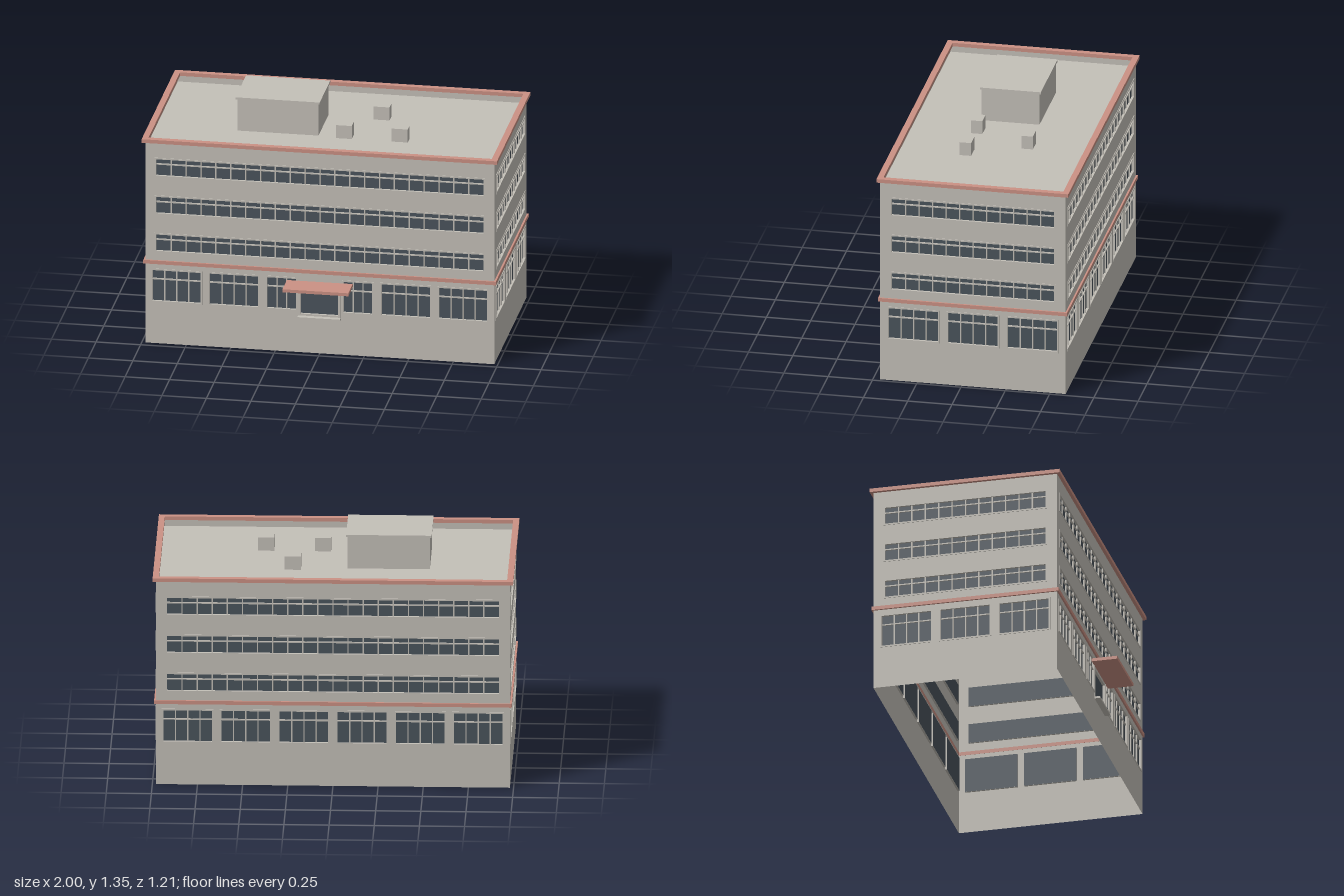
import * as THREE from 'three';
import { mergeGeometries } from 'three/addons/utils/BufferGeometryUtils.js';

const mat = (name, color, side = THREE.FrontSide) =>
  Object.assign(new THREE.MeshStandardMaterial({ color, side }), { name });

export function createModel() {
  const concrete = mat('concrete', 0xc4c0b8, THREE.DoubleSide);
  const terracotta = mat('terracotta', 0xcb9184);
  const glass = mat('glass', 0x4a545c, THREE.DoubleSide);

  const X = 0.98, ZF = 0.46, ZB = -0.587, ZC = (ZF + ZB) / 2, WALL_TOP = 1.195;
  const model = new THREE.Group();
  model.name = 'officeBuilding';

  const mesh = (name, geometry, material, parent = model) => {
    const m = new THREE.Mesh(geometry, material);
    m.name = name;
    parent.add(m);
    return m;
  };
  // Box geometry given by its limits
  const boxGeo = (x0, x1, y0, y1, z0, z1) =>
    new THREE.BoxGeometry(x1 - x0, y1 - y0, z1 - z0)
      .translate((x0 + x1) / 2, (y0 + y1) / 2, (z0 + z1) / 2);
  const box = (name, material, ...limits) => mesh(name, boxGeo(...limits), material);

  const rect = (Type, x0, x1, y0, y1) => {
    const p = new Type();
    p.moveTo(x0, y0);
    p.lineTo(x1, y0);
    p.lineTo(x1, y1);
    p.lineTo(x0, y1);
    p.closePath();
    return p;
  };

  // Framed window: surround, mullions and transom in front of one pane
  function addWindow(parent, { x0, x1, y0, y1, panes, transom, frame = 0.009 }) {
    const back = -0.011, front = 0.003, bar = 0.0035;
    const bars = [
      boxGeo(x0, x0 + frame, y0, y1, back, front),
      boxGeo(x1 - frame, x1, y0, y1, back, front),
      boxGeo(x0 + frame, x1 - frame, y0, y0 + frame, back, front),
      boxGeo(x0 + frame, x1 - frame, y1 - frame, y1, back, front),
    ];
    for (let i = 1; i < panes; i++) {
      const x = x0 + frame + (x1 - x0 - 2 * frame) * i / panes;
      bars.push(boxGeo(x - bar, x + bar, y0 + frame, y1 - frame, back, -0.003));
    }
    if (transom) {
      const y = y1 - transom;
      bars.push(boxGeo(x0 + frame, x1 - frame, y - bar, y + bar, back, -0.003));
    }
    mesh('windowFrame', mergeGeometries(bars), concrete, parent);
    const pane = new THREE.PlaneGeometry(x1 - x0, y1 - y0);
    pane.translate((x0 + x1) / 2, (y0 + y1) / 2, -0.012);
    mesh('windowGlass', pane, glass, parent);
  }

  // Wall pierced by its windows, drawn facing +z
  function facade(name, half, windows, x, z, turn) {
    const group = new THREE.Group();
    group.name = name;
    group.position.set(x, 0, z);
    group.rotation.y = turn;
    const shape = rect(THREE.Shape, -half, half, 0, WALL_TOP);
    for (const w of windows) {
      shape.holes.push(rect(THREE.Path, w.x0, w.x1, w.y0, w.y1));
      addWindow(group, w);
    }
    mesh('wall', new THREE.ShapeGeometry(shape), concrete, group);
    model.add(group);
  }

  // Ribbon windows of the three upper floors
  const ribbons = (half, panes) => [0.54, 0.763, 0.986].map(y0 =>
    ({ x0: -half, x1: half, y0, y1: y0 + 0.114, panes, transom: 0.039 }));
  // Ground floor windows
  const low = (x0, x1, panes = 4) => ({ x0, x1, y0: 0.243, y1: 0.442, panes, transom: 0.062 });
  const row = (centres, width) => centres.map(c => low(c - width / 2, c + width / 2));

  const outer = [-0.804, -0.483, 0.483, 0.804];
  const door = { x0: -0.122, x1: 0.118, y0: 0.215, y1: 0.402, panes: 1, frame: 0.015 };
  facade('frontFacade', X, [
    ...ribbons(0.928, 22), ...row(outer, 0.288),
    low(-0.304, -0.125, 3), low(0.125, 0.304, 3), door,
  ], 0, ZF, 0);
  facade('backFacade', X, [
    ...ribbons(0.928, 22), ...row([...outer, -0.161, 0.161], 0.288),
  ], 0, ZB, Math.PI);
  for (const s of [1, -1]) {
    facade(s > 0 ? 'leftFacade' : 'rightFacade', (ZF - ZB) / 2, [
      ...ribbons(0.467, 12), ...row([-0.336, 0, 0.336], 0.298),
    ], s * X, ZC, s * Math.PI / 2);
  }

  // Flat ring running round the building
  function ring(name, grow, inset, y, height) {
    const shape = rect(THREE.Shape, -X - grow, X + grow, -ZF - grow, -ZB + grow);
    shape.holes.push(rect(THREE.Path, -X + inset, X - inset, -ZF + inset, -ZB - inset));
    const geo = new THREE.ExtrudeGeometry(shape, { depth: height, bevelEnabled: false });
    mesh(name, geo.rotateX(-Math.PI / 2).translate(0, y, 0), terracotta);
  }
  ring('parapetCap', 0.018, 0.016, 1.19, 0.021);
  ring('stringCourse', 0.01, 0.001, 0.472, 0.021);

  // Roof deck and rooftop blocks
  const ROOF = 1.15;
  const deck = new THREE.PlaneGeometry(2 * X, ZF - ZB).rotateX(-Math.PI / 2);
  mesh('roofDeck', deck.translate(0, ROOF, ZC), concrete);
  box('penthouse', concrete, -0.525, -0.07, ROOF, 1.337, -0.227, 0.1);
  box('penthouseLid', concrete, -0.535, -0.062, 1.337, 1.349, -0.236, 0.107);
  for (const [x, z] of [[0.076, 0.089], [0.233, -0.228], [0.39, 0.089]]) {
    box('roofVent', concrete, x - 0.045, x + 0.045, ROOF, 1.227, z - 0.032, z + 0.032);
  }

  // Entrance canopy and doorstep
  box('canopy', terracotta, -0.185, 0.185, 0.405, 0.423, ZF, 0.605);
  box('doorstep', concrete, -0.122, 0.118, 0.207, 0.219, ZF, 0.492);

  return model;
}
